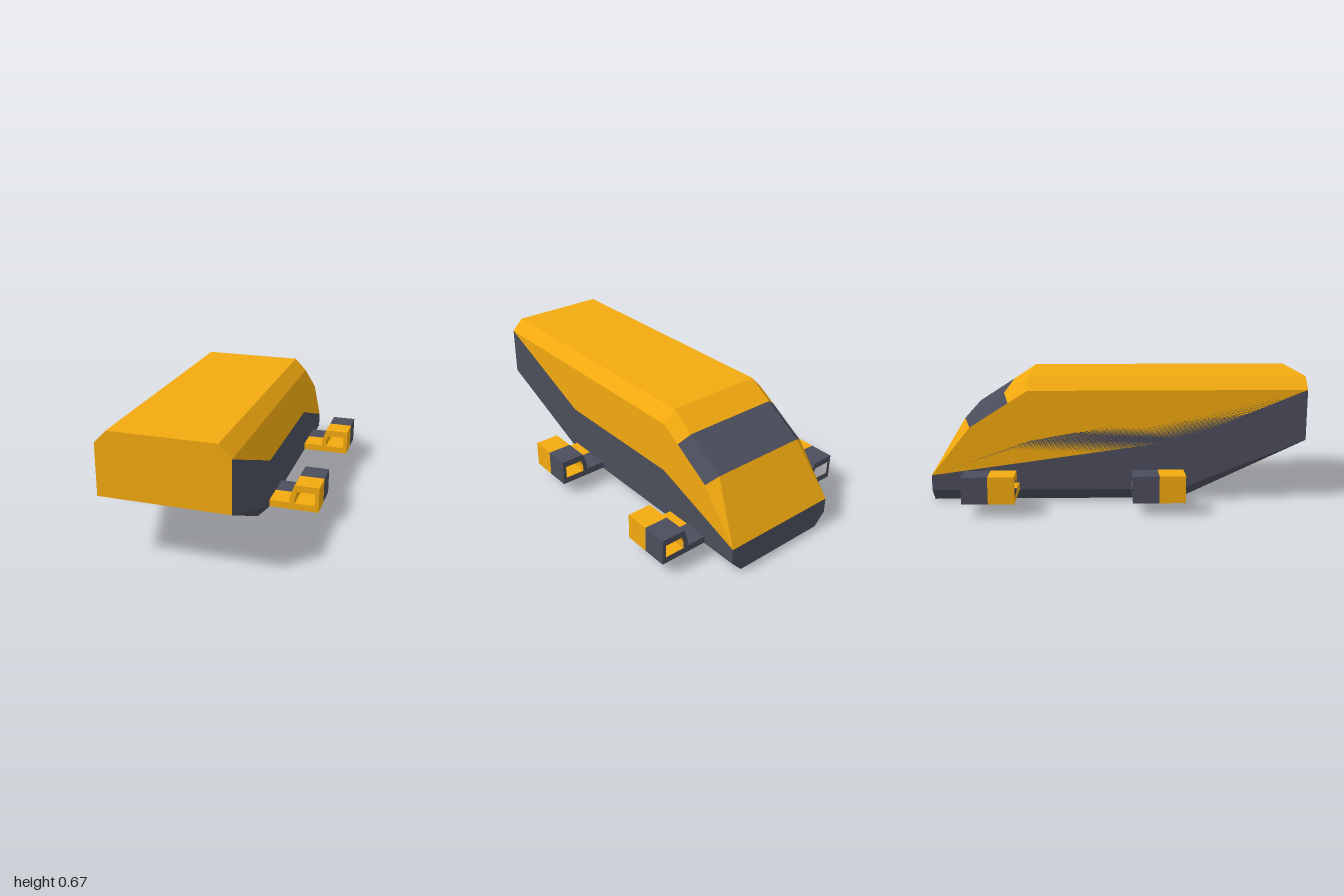
import * as THREE from 'three';

const orange = new THREE.MeshStandardMaterial({ color: 0xf2a90f });
const dark = new THREE.MeshStandardMaterial({ color: 0x4b4d5c });

const mirror = (face) => face.map(([x, y, z]) => [-x, y, z]).reverse();

// Flat mesh from polygons, each fanned from its first corner
function panel(name, material, faces) {
  const pos = [];
  for (const f of faces)
    for (let i = 1; i < f.length - 1; i++) pos.push(...f[0], ...f[i], ...f[i + 1]);
  const geo = new THREE.BufferGeometry();
  geo.setAttribute('position', new THREE.Float32BufferAttribute(pos, 3));
  geo.computeVertexNormals();
  const mesh = new THREE.Mesh(geo, material);
  mesh.name = name;
  return mesh;
}

// A side face with its mirrored twin, and a face spanning the width
const pair = (...f) => [f, mirror(f)];
const span = (...f) => [[...f, ...mirror(f)]];

function createBody() {
  const W = 0.333, N = 0.27;
  // Roof edge, front to back
  const roofF = [N, 0.67, 1], roofB = [N, 0.67, -0.48];
  const glassTop = [N, 0.585, -0.61], glassLow = [N, 0.45, -0.82];
  // Shoulder edge below the roof chamfer
  const shF = [W, 0.605, 1], shB = [W, 0.605, -0.48];
  const shTop = [W, 0.54, -0.585], shLow = [W, 0.41, -0.79];
  // Colour split along the side
  const splitF = [W, 0.335, 0.333], splitB = [W, 0.335, -0.48], tail = [W, 0.15, -1];
  // Lower hull
  const chin = [W, 0.335, 1], sillF = [W, 0.067, 0.333], sillB = [W, 0.067, -1];
  const baseF = [N, 0, 0.333], baseM = [N, 0, -0.333], baseB = [N, 0, -1];

  const body = new THREE.Group();
  body.name = 'body';
  body.add(
    panel('upperShell', orange, [
      ...span(roofF, roofB), ...span(roofB, glassTop), ...span(glassLow, tail),
      ...pair(shF, shB, roofB, roofF), ...pair(shB, shTop, glassTop, roofB),
      ...pair(shLow, tail, glassLow),
      ...pair(splitB, tail, shLow, shTop, shB, shF, splitF),
      ...span(chin, shF, roofF),
    ]),
    panel('windowBand', dark, [
      ...span(glassTop, glassLow), ...pair(shTop, shLow, glassLow, glassTop),
    ]),
    panel('lowerHull', dark, [
      ...pair(splitF, shF, chin, sillF, sillB, tail, splitB),
      ...pair(sillF, baseF, baseB, sillB), ...pair(chin, baseF, sillF),
      ...span(tail, sillB, baseB), ...span(baseM, baseF), ...span(baseF, chin),
    ]),
    panel('bellyPanel', orange, span(baseB, baseM)),
  );
  return body;
}

// Side pod: hollow box on a short plate, orange front half and dark rear half
function createPod(name, side, zFront) {
  const length = 0.267;
  const pts = (list) => list.map(([x, y]) => new THREE.Vector2(x * side, y));
  const outer = pts([[0.333, 0.07], [0.6, 0.07], [0.6, 0.21], [0.467, 0.21],
    [0.443, 0.142], [0.443, 0.108], [0.333, 0.108]]);
  const hole = pts([[0.468, 0.103], [0.58, 0.103], [0.58, 0.175], [0.481, 0.175], [0.468, 0.14]]);
  const inner = pts([[0.47, 0.105], [0.578, 0.105], [0.578, 0.173], [0.482, 0.173], [0.47, 0.14]]);

  const pod = new THREE.Group();
  pod.name = name;
  const add = (part, material, outline, cut, z, depth) => {
    const shape = new THREE.Shape(outline);
    shape.holes.push(new THREE.Path(cut));
    const geo = new THREE.ExtrudeGeometry(shape, { depth, bevelEnabled: false });
    const mesh = new THREE.Mesh(geo, material);
    mesh.name = part;
    mesh.position.z = z;
    pod.add(mesh);
  };
  add('podFront', orange, outer, hole, zFront - length / 2, length / 2);
  add('podRear', dark, outer, hole, zFront - length, length / 2);
  add('podLining', orange, hole, inner, zFront - length + 0.001, length - 0.002);
  return pod;
}

export function createModel() {
  const model = new THREE.Group();
  model.name = 'shuttle';
  model.add(createBody());
  for (const [sideName, side] of [['left', 1], ['right', -1]]) {
    model.add(createPod(sideName + 'FrontPod', side, 0.333));
    model.add(createPod(sideName + 'RearPod', side, -0.533));
  }
  return model;
}
